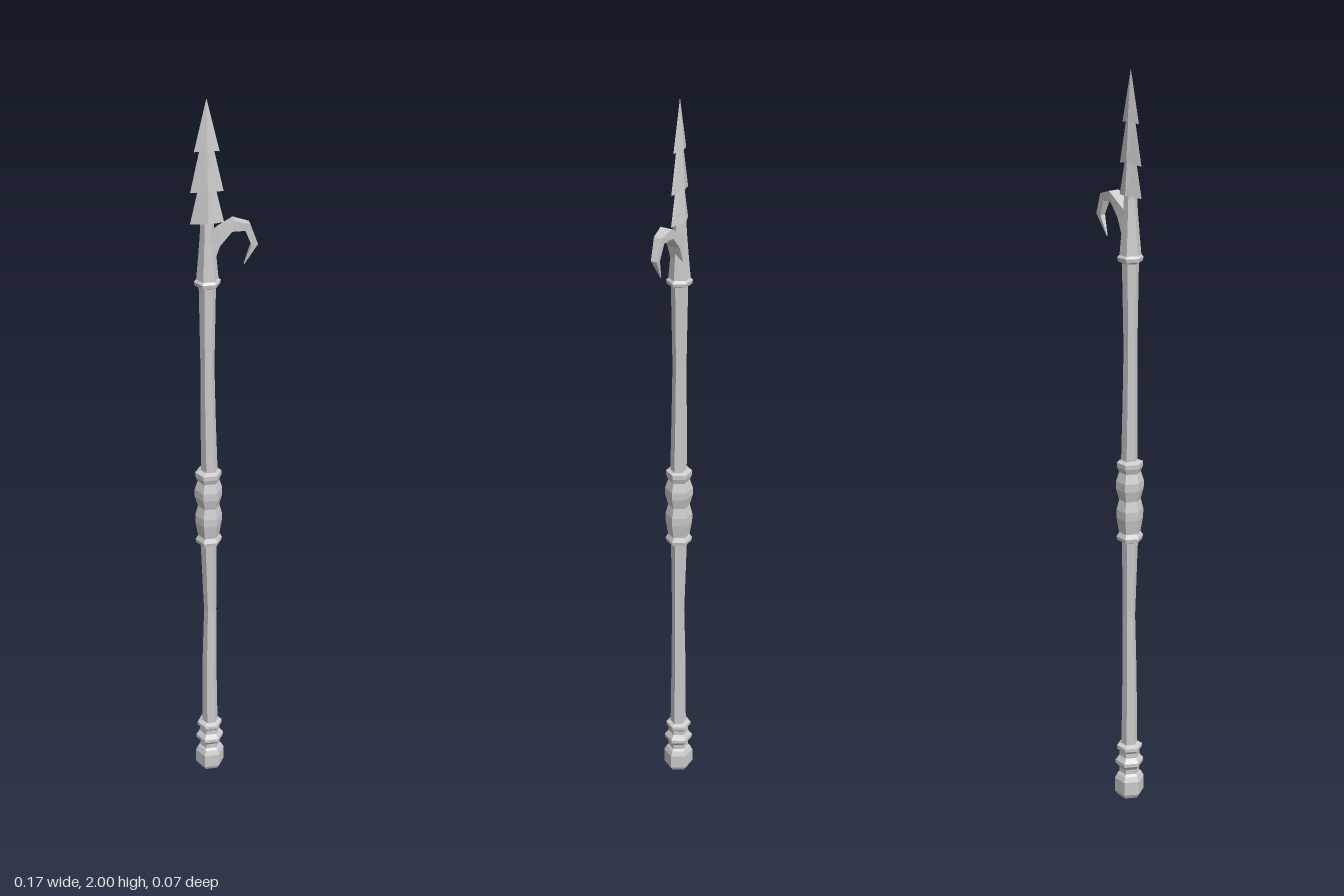
import * as THREE from 'three';

const AXIS_X = -0.041;
const material = new THREE.MeshStandardMaterial({ color: 0xcccccc, flatShading: true, side: THREE.DoubleSide });

function addMesh(group, geometry, name) {
  const mesh = new THREE.Mesh(geometry, material);
  mesh.name = name;
  group.add(mesh);
  return mesh;
}

// Six-sided turned part, corners on the x axis; profile is [radius, y] from bottom to top
function turned(group, name, profile) {
  const points = profile.map(([r, y]) => new THREE.Vector2(r, y));
  return addMesh(group, new THREE.LatheGeometry(points, 6, Math.PI / 2), name);
}

// Skin over a list of equal-sized loops of [x, y, z] corners, with both ends capped
function loft(loops) {
  const n = loops[0].length;
  const index = [];
  for (let k = 0; k < loops.length - 1; k++) {
    for (let i = 0; i < n; i++) {
      const a = k * n + i, b = k * n + (i + 1) % n;
      index.push(a, b, b + n, a, b + n, a + n);
    }
  }
  const top = (loops.length - 1) * n;
  for (let i = 1; i < n - 1; i++) {
    index.push(0, i + 1, i, top, top + i, top + i + 1);
  }
  const geometry = new THREE.BufferGeometry();
  geometry.setAttribute('position', new THREE.Float32BufferAttribute(loops.flat(2), 3));
  geometry.setIndex(index);
  geometry.computeVertexNormals();
  return geometry;
}

// Hand-hewn shaft section: stations are [y, radius, sideways offset]
function shaft(group, name, stations) {
  const loops = stations.map(([y, r, dx]) => Array.from({ length: 6 }, (_, i) => {
    const a = -i * Math.PI / 3;
    return [dx + r * Math.cos(a), y, r * Math.sin(a)];
  }));
  addMesh(group, loft(loops), name);
}

export function createModel() {
  const group = new THREE.Group();
  group.name = 'barbedSpear';
  const body = new THREE.Group();
  body.name = 'spearBody';
  body.position.x = AXIS_X;
  group.add(body);

  // Pommel with its two rings
  turned(body, 'pommel', [
    [0, 0.005], [0.033, 0.005], [0.041, 0.018], [0.041, 0.058], [0.034, 0.072], [0.028, 0.078],
    [0.028, 0.092], [0.039, 0.105], [0.039, 0.115], [0.028, 0.128], [0.028, 0.142],
    [0.035, 0.15], [0.035, 0.16], [0.02, 0.166],
  ]);

  // Shaft, slightly waisted between the fittings
  shaft(body, 'lowerShaft', [
    [0.15, 0.022, 0.001], [0.36, 0.02, 0], [0.55, 0.017, 0.003], [0.79, 0.022, -0.001],
  ]);
  shaft(body, 'upperShaft', [
    [0.98, 0.022, 0.003], [1.15, 0.02, 0], [1.3, 0.018, -0.001], [1.54, 0.022, 0],
  ]);

  // Grip with two swellings between end rings
  turned(body, 'grip', [
    [0.02, 0.768], [0.034, 0.774], [0.036, 0.784], [0.029, 0.796], [0.036, 0.838], [0.036, 0.86],
    [0.029, 0.888], [0.037, 0.918], [0.037, 0.94], [0.029, 0.965], [0.035, 0.98],
    [0.035, 0.992], [0.02, 0.998],
  ]);

  // Socket and its collar
  turned(body, 'socket', [
    [0.02, 1.522], [0.032, 1.528], [0.034, 1.538], [0.028, 1.544], [0.023, 1.6],
    [0.019, 1.65], [0.015, 1.715], [0, 1.73],
  ]);

  // Barbed blade: stations are [half width, edge y, half thickness, ridge y]
  const blade = [
    [0.016, 1.66, 0.014, 1.66], [0.018, 1.708, 0.014, 1.7],
    [0.042, 1.69, 0.018, 1.694], [0.019, 1.79, 0.012, 1.785],
    [0.041, 1.77, 0.014, 1.776], [0.015, 1.888, 0.008, 1.885],
    [0.031, 1.872, 0.01, 1.876], [0.0005, 2, 0.0005, 2],
  ];
  addMesh(body, loft(blade.map(([w, y, t, ridgeY]) => [
    [w, y, 0], [0, ridgeY, -t], [-w, y, 0], [0, ridgeY, t],
  ])), 'barbedBlade');

  // Side hook: stations are [outer x, outer y, inner x, inner y, half depth]
  const hook = [
    [-0.04, 1.655, -0.03, 1.585, 0.017], [-0.012, 1.675, -0.012, 1.635, 0.018],
    [0.024, 1.697, 0.018, 1.67, 0.016], [0.064, 1.685, 0.052, 1.668, 0.011],
    [0.084, 1.63, 0.068, 1.628, 0.008], [0.051, 1.576, 0.05, 1.579, 0.001],
  ];
  addMesh(group, loft(hook.map(([ox, oy, ix, iy, d]) => [
    [ox, oy, d], [ix, iy, d], [ix, iy, -d], [ox, oy, -d],
  ])), 'sideHook');

  return group;
}
